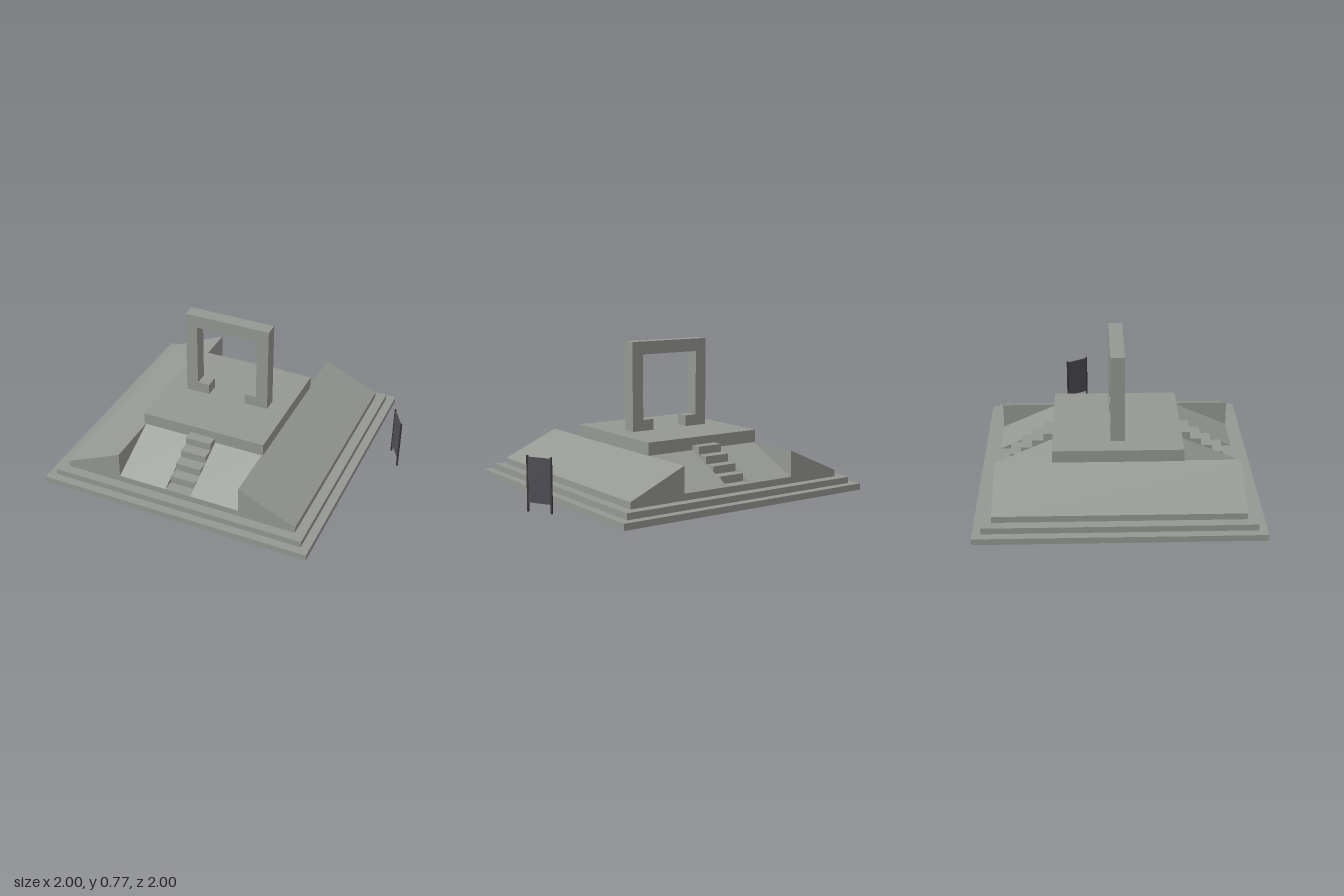
import * as THREE from 'three';

export function createModel() {
  const model = new THREE.Group();
  const stone = new THREE.MeshStandardMaterial({ color: 0x959892 });
  stone.name = 'grey stone';
  const dark = new THREE.MeshStandardMaterial({ color: 0x4e4e55 });
  dark.name = 'sign panel grey';
  const metal = new THREE.MeshStandardMaterial({ color: 0x3a3a3c });
  metal.name = 'dark metal';

  const monument = new THREE.Group();
  monument.name = 'monument';
  monument.rotation.y = Math.PI / 6;
  model.add(monument);

  // Box given by its limits on each axis
  function box(parent, name, mat, x0, x1, y0, y1, z0, z1) {
    const m = new THREE.Mesh(new THREE.BoxGeometry(x1 - x0, y1 - y0, z1 - z0), mat);
    m.position.set((x0 + x1) / 2, (y0 + y1) / 2, (z0 + z1) / 2);
    m.name = name;
    parent.add(m);
    return m;
  }

  // Right-triangle prism: low at z = OUT, high at z = IN, spanning x0..x1
  const OUT = 0.637, IN = 0.333, LOW = 0.1, HIGH = 0.236;
  function wedge(name, x0, x1, turn) {
    const s = new THREE.Shape([
      new THREE.Vector2(-OUT, LOW), new THREE.Vector2(-IN, LOW), new THREE.Vector2(-IN, HIGH),
    ]);
    const g = new THREE.ExtrudeGeometry(s, { depth: x1 - x0, bevelEnabled: false });
    g.rotateY(Math.PI / 2); // profile -x becomes +z, extrusion becomes +x
    g.translate(x0, 0, 0);
    g.rotateY(turn);
    const m = new THREE.Mesh(g, stone);
    m.name = name;
    monument.add(m);
  }

  // Stepped square base
  [[0.732, 0, 0.033], [0.688, 0.033, 0.066], [OUT, 0.066, LOW]].forEach(([h, y0, y1], i) =>
    box(monument, 'baseTier' + (i + 1), stone, -h, h, y0, y1, -h, h));

  // Core and platform slab
  box(monument, 'core', stone, -IN, IN, LOW, HIGH, -IN, IN);
  box(monument, 'platform', stone, -0.34, 0.34, HIGH, 0.302, -0.34, 0.34);

  // Long side slopes
  wedge('leftSlope', -OUT, OUT, Math.PI / 2);
  wedge('rightSlope', -OUT, OUT, -Math.PI / 2);

  // Ramps and stairs at both ends
  const HALF = 0.07, STEPS = 5, tread = (OUT - IN) / STEPS, rise = 0.0403;
  for (const [end, turn] of [['front', 0], ['back', Math.PI]]) {
    wedge(end + 'RampA', -IN, -HALF, turn);
    wedge(end + 'RampB', HALF, IN, turn);
    const stairs = new THREE.Group();
    stairs.name = end + 'Stairs';
    stairs.rotation.y = turn;
    monument.add(stairs);
    for (let i = 1; i < STEPS; i++) {
      const z = OUT - i * tread;
      box(stairs, 'step' + i, stone, -HALF, HALF, LOW + (i - 1) * rise, LOW + i * rise, IN, z);
    }
  }

  // Gateway with small inner feet
  const arch = new THREE.Group();
  arch.name = 'gateway';
  monument.add(arch);
  const D = 0.037;
  box(arch, 'lintel', stone, -0.235, 0.235, 0.705, 0.773, -D, D);
  box(arch, 'leftPillar', stone, 0.17, 0.235, 0.302, 0.705, -D, D);
  box(arch, 'rightPillar', stone, -0.235, -0.17, 0.302, 0.705, -D, D);
  box(arch, 'leftFoot', stone, 0.104, 0.17, 0.302, 0.36, -D, D);
  box(arch, 'rightFoot', stone, -0.17, -0.104, 0.302, 0.36, -D, D);

  // Freestanding sign on two posts
  const sign = new THREE.Group();
  sign.name = 'sign';
  sign.position.set(0.655, 0, -0.632);
  sign.rotation.y = -Math.PI / 6;
  model.add(sign);
  box(sign, 'signPanel', dark, -0.064, 0.064, 0.045, 0.268, -0.002, 0.002);
  for (const s of [-1, 1]) {
    box(sign, 'signPost', metal, s * 0.066 - 0.004, s * 0.066 + 0.004, 0, 0.275, -0.004, 0.004);
  }
  return model;
}
